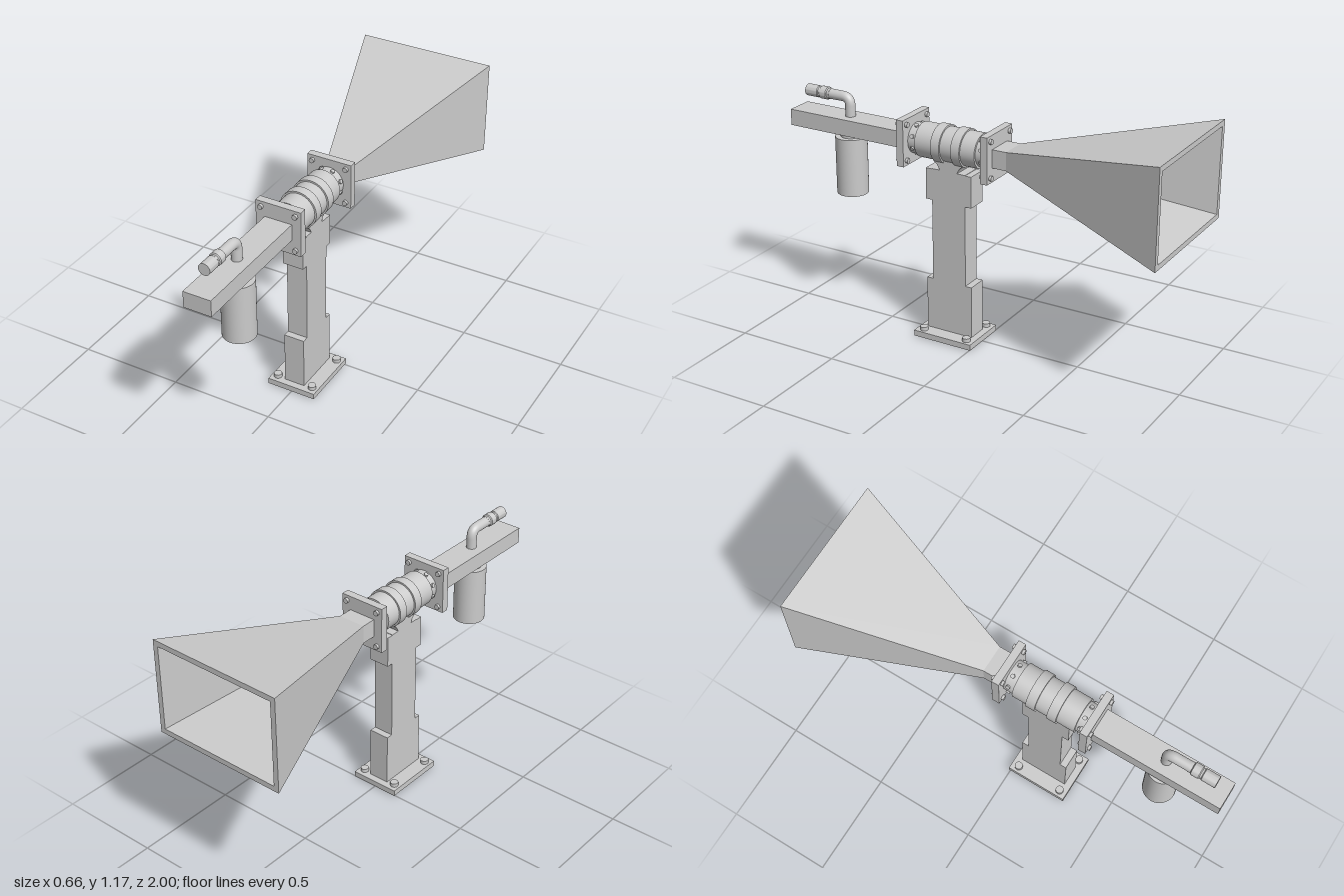
import * as THREE from 'three';
import { toCreasedNormals } from 'three/addons/utils/BufferGeometryUtils.js';

const AXIS_Y = 0.945; // height of the waveguide centre line
const POST_Z = 0.145; // centre of the post

export function createModel() {
  const model = new THREE.Group();
  const material = new THREE.MeshStandardMaterial({ color: 0xcccccc });

  const add = (name, geometry, x = 0, y = 0, z = 0, parent = model) => {
    const mesh = new THREE.Mesh(geometry, material);
    mesh.name = name;
    mesh.position.set(x, y, z);
    parent.add(mesh);
    return mesh;
  };
  const group = (name) => {
    const g = new THREE.Group();
    g.name = name;
    model.add(g);
    return g;
  };
  // box given by its extents
  const box = (name, x0, x1, y0, y1, z0, z1, parent) =>
    add(name, new THREE.BoxGeometry(x1 - x0, y1 - y0, z1 - z0),
      (x0 + x1) / 2, (y0 + y1) / 2, (z0 + z1) / 2, parent);
  const cylinderY = (name, r, y0, y1, x, z, parent, sides = 40) =>
    add(name, new THREE.CylinderGeometry(r, r, y1 - y0, sides), x, (y0 + y1) / 2, z, parent);
  const cylinderZ = (name, r, z0, z1, x, y, parent, sides = 40) =>
    add(name, new THREE.CylinderGeometry(r, r, z1 - z0, sides).rotateX(Math.PI / 2),
      x, y, (z0 + z1) / 2, parent);
  const rect = (target, w, d) => {
    target.moveTo(-w, -d); target.lineTo(w, -d);
    target.lineTo(w, d); target.lineTo(-w, d);
    target.closePath();
    return target;
  };
  // upright rectangular frame with half sizes w,d outside and hw,hd inside
  const frame = (name, w, d, hw, hd, y0, y1, parent) => {
    const shape = rect(new THREE.Shape(), w, d);
    shape.holes.push(rect(new THREE.Path(), hw, hd));
    const g = new THREE.ExtrudeGeometry(shape, { depth: y1 - y0, bevelEnabled: false });
    add(name, g.rotateX(-Math.PI / 2), 0, y0, POST_Z, parent);
  };

  // Stand: hollow post, base plate, stiffeners and head brackets
  const stand = group('stand');
  frame('post', 0.05, 0.087, 0.036, 0.073, 0, 0.822, stand);
  box('postCap', -0.05, 0.05, 0.82, 0.832, 0.058, 0.232, stand);
  frame('basePlate', 0.12, 0.152, 0.049, 0.086, 0.004, 0.032, stand);
  for (const s of [-1, 1]) {
    const z0 = POST_Z + s * 0.086, z1 = POST_Z + s * 0.119;
    const near = Math.min(z0, z1), far = Math.max(z0, z1);
    box('stiffener', -0.05, 0.05, 0.03, 0.287, near, far, stand);
    box('headBracket', -0.05, 0.05, 0.68, 0.83, near, far, stand);
    for (const x of [-0.09, 0.09])
      cylinderY('baseBolt', 0.019, 0.03, 0.05, x, POST_Z + s * 0.115, stand, 20);
  }

  // Saddle flaring up from the post to the circulator body
  const saddle = new THREE.Shape();
  saddle.moveTo(-0.045, 0.83);
  saddle.lineTo(0.045, 0.83);
  saddle.quadraticCurveTo(0.055, 0.86, 0.077, 0.87);
  saddle.lineTo(0.077, 0.9);
  saddle.lineTo(-0.077, 0.9);
  saddle.lineTo(-0.077, 0.87);
  saddle.quadraticCurveTo(-0.055, 0.86, -0.045, 0.83);
  const saddleGeometry = new THREE.ExtrudeGeometry(saddle, { depth: 0.1, bevelEnabled: false });
  add('saddle', saddleGeometry.translate(0, 0, -0.05).rotateY(Math.PI / 2), 0, 0, POST_Z, stand);

  // Round isolator body with clamp bands and end collars
  const isolator = group('isolator');
  cylinderZ('isolatorBody', 0.082, -0.008, 0.303, 0, AXIS_Y, isolator, 48);
  cylinderZ('endCollars', 0.072, -0.06, 0.35, 0, AXIS_Y, isolator, 48);
  for (const z of [0.065, 0.17])
    cylinderZ('clampBand', 0.09, z, z + 0.045, 0, AXIS_Y, isolator, 48);
  for (const z of [-0.035, 0.323])
    for (let i = 0; i < 8; i++) {
      const a = (i + 0.5) * Math.PI / 4;
      const screw = add('collarScrew', new THREE.CylinderGeometry(0.01, 0.01, 0.012, 12),
        Math.cos(a) * 0.073, AXIS_Y + Math.sin(a) * 0.073, z, isolator);
      screw.rotation.z = a - Math.PI / 2;
    }

  // Square flanges with four through bolts each
  for (const z of [-0.073, 0.362]) {
    const flange = group('flange');
    box('flangePlate', -0.11, 0.11, AXIS_Y - 0.11, AXIS_Y + 0.11, z - 0.018, z + 0.018, flange);
    for (const x of [-0.084, 0.084])
      for (const y of [-0.085, 0.085])
        cylinderZ('flangeBolt', 0.012, z - 0.03, z + 0.03, x, AXIS_Y + y, flange, 16);
  }

  // Feed waveguide
  box('waveguide', -0.066, 0.066, AXIS_Y - 0.039, AXIS_Y + 0.039, 0.37, 1);

  // Horn: rectangular cross-sections, outside to the mouth and back along the inside
  const rings = [
    [0.066, 0.043, -0.08], [0.066, 0.043, -0.16], [0.33, 0.227, -1],
    [0.305, 0.202, -1], [0.05, 0.028, -0.16], [0.05, 0.028, -0.095],
  ];
  const corners = [[1, 1], [-1, 1], [-1, -1], [1, -1]];
  const point = ([w, h, z], k) => [corners[k % 4][0] * w, corners[k % 4][1] * h, z];
  const tris = [];
  const quad = (a, b, c, d) => tris.push(...a, ...b, ...c, ...a, ...c, ...d);
  for (let i = 0; i < rings.length - 1; i++)
    for (let k = 0; k < 4; k++)
      quad(point(rings[i], k), point(rings[i], k + 1),
        point(rings[i + 1], k + 1), point(rings[i + 1], k));
  const throat = rings[rings.length - 1];
  quad(point(throat, 0), point(throat, 1), point(throat, 2), point(throat, 3));
  const horn = new THREE.BufferGeometry();
  horn.setAttribute('position', new THREE.Float32BufferAttribute(tris, 3));
  horn.computeVertexNormals();
  // check of winding: the top outer face must point up
  if (horn.attributes.normal.getY(0) < 0) {
    const p = horn.attributes.position;
    for (let i = 0; i < p.count; i += 3) {
      const b = [p.getX(i + 1), p.getY(i + 1), p.getZ(i + 1)];
      p.setXYZ(i + 1, p.getX(i + 2), p.getY(i + 2), p.getZ(i + 2));
      p.setXYZ(i + 2, ...b);
    }
    horn.computeVertexNormals();
  }
  add('horn', horn, 0, AXIS_Y, 0);

  // Microwave source canister below the waveguide
  const source = group('source');
  cylinderY('canister', 0.075, 0.608, 0.888, 0, 0.705, source, 48);
  cylinderY('canisterNeck', 0.05, 0.88, 0.91, 0, 0.705, source);

  // Bent pipe with a ribbed connector
  const connector = group('connector');
  const path = new THREE.CurvePath();
  const v = (y, z) => new THREE.Vector3(0, y, z);
  path.add(new THREE.LineCurve3(v(0.975, 0.705), v(1.035, 0.705)));
  path.add(new THREE.QuadraticBezierCurve3(v(1.035, 0.705), v(1.073, 0.705), v(1.073, 0.743)));
  path.add(new THREE.LineCurve3(v(1.073, 0.743), v(1.073, 0.82)));
  add('elbowPipe', new THREE.TubeGeometry(path, 40, 0.024, 24), 0, 0, 0, connector);
  const profile = [[0, 0], [0.025, 0], [0.025, 0.012], [0.03, 0.016], [0.03, 0.05],
    [0.025, 0.054], [0.025, 0.062], [0.028, 0.066], [0.028, 0.13], [0, 0.13]]
    .map(([r, y]) => new THREE.Vector2(r, y));
  const plug = toCreasedNormals(new THREE.LatheGeometry(profile, 32).rotateX(Math.PI / 2), 0.5);
  add('plug', plug, 0, 1.073, 0.81, connector);

  return model;
}
